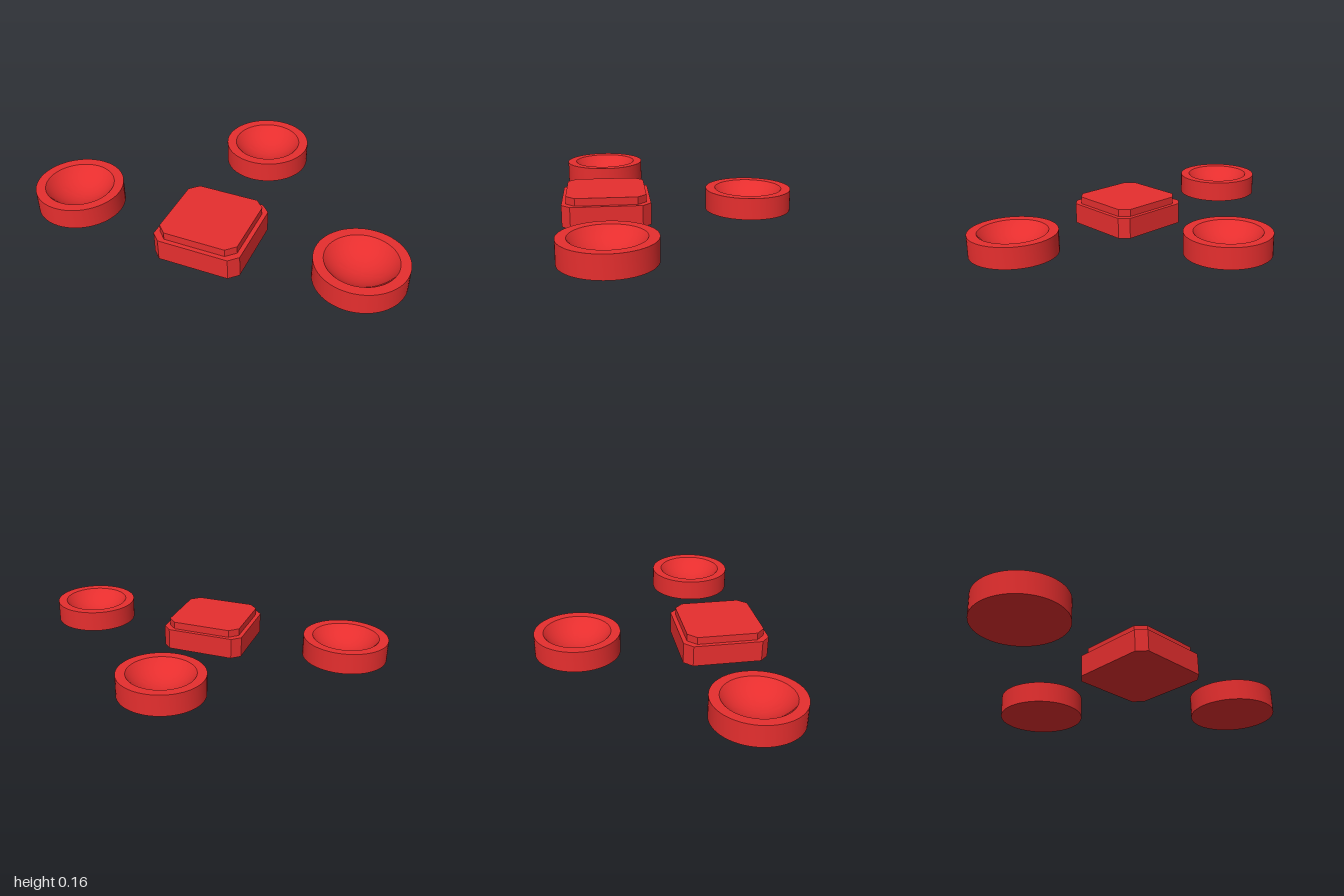
import * as THREE from 'three';
import { toCreasedNormals } from 'three/addons/utils/BufferGeometryUtils.js';

const red = new THREE.MeshStandardMaterial({ color: 0xe62e2e });

// Square plate with cut corners, lying flat between two heights
function plate(name, half, cut, bottom, top) {
  const a = half, b = half - cut;
  const corners = [[a, -b], [a, b], [b, a], [-b, a], [-a, b], [-a, -b], [-b, -a], [b, -a]];
  const shape = new THREE.Shape(corners.map(([x, y]) => new THREE.Vector2(x, y)));
  const geo = new THREE.ExtrudeGeometry(shape, { depth: top - bottom, bevelEnabled: false });
  geo.rotateX(-Math.PI / 2).translate(0, bottom, 0);
  const mesh = new THREE.Mesh(geo, red);
  mesh.name = name;
  return mesh;
}

// Round button with a spherical dish sunk in its top
function dishedGeometry() {
  const outer = 0.23, inner = 0.18, bottom = 0.02, top = 0.135, depth = 0.088;
  const radius = (inner * inner + depth * depth) / (2 * depth);
  const angle = Math.asin(inner / radius);
  const profile = [[0, bottom], [outer, bottom], [outer, top]];
  const rings = 12;
  for (let i = rings; i >= 0; i--) {
    const t = (angle * i) / rings;
    profile.push([radius * Math.sin(t), top - depth + radius * (1 - Math.cos(t))]);
  }
  const geo = new THREE.LatheGeometry(profile.map(([x, y]) => new THREE.Vector2(x, y)), 64);
  return toCreasedNormals(geo, Math.PI / 6);
}

export function createModel() {
  const model = new THREE.Group();
  model.name = 'buttonSet';

  // Square button: wide base with a smaller raised cap
  const square = new THREE.Group();
  square.name = 'squareButton';
  square.add(
    plate('squareBase', 0.23, 0.045, 0, 0.115),
    plate('squareCap', 0.207, 0.046, 0.115, 0.155)
  );
  square.position.z = 0.385;
  model.add(square);

  // Three round buttons on the other sides
  const dished = dishedGeometry();
  const places = { leftButton: [0.77, 0.385], rightButton: [-0.77, 0.385], backButton: [0, -0.385] };
  for (const [name, [x, z]] of Object.entries(places)) {
    const button = new THREE.Mesh(dished, red);
    button.name = name;
    button.position.set(x, 0, z);
    model.add(button);
  }
  return model;
}
